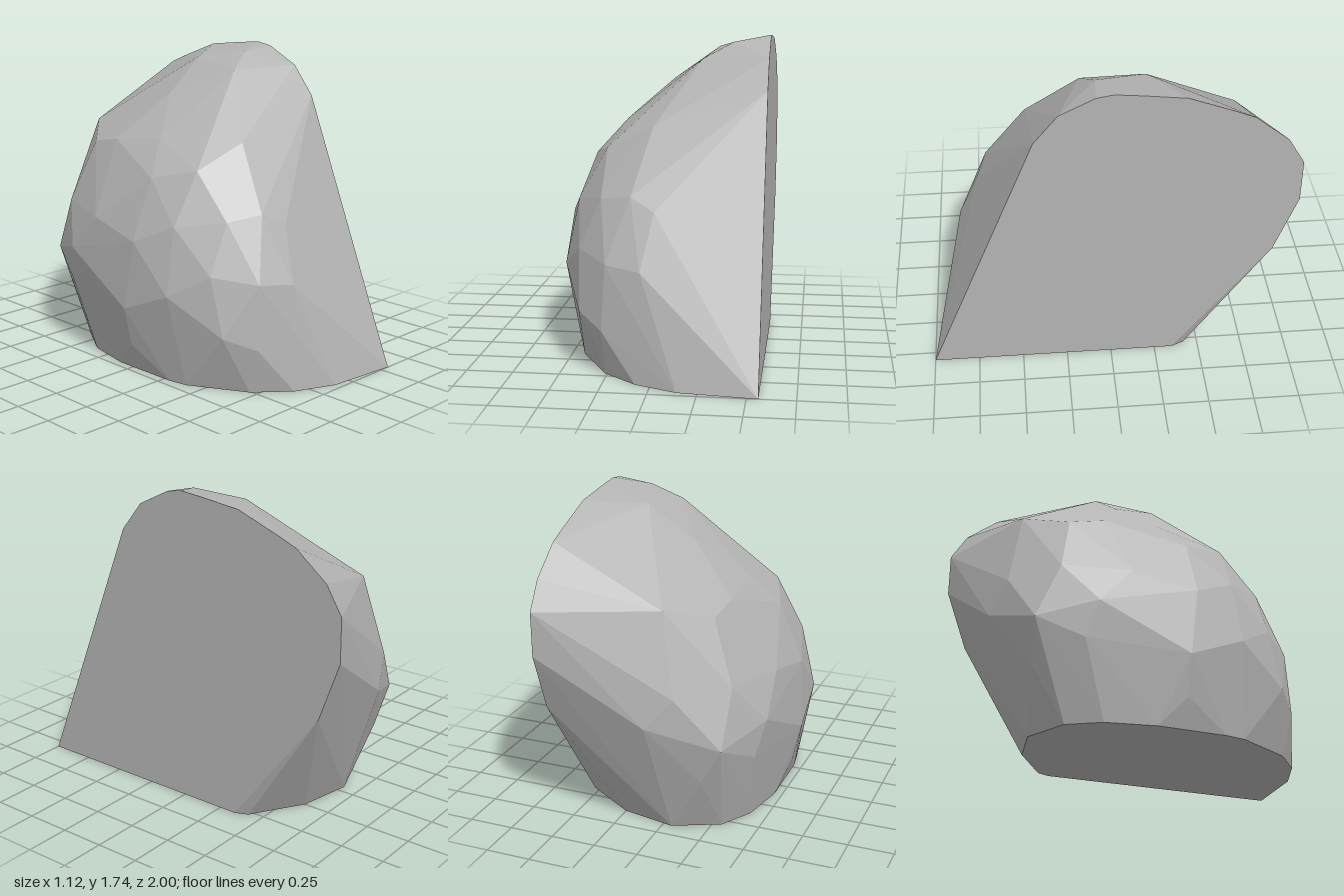
import * as THREE from 'three';
import { ConvexGeometry } from 'three/addons/geometries/ConvexGeometry.js';

const CUT_X = 0.56;

// Outline of the flat base, as x, z on y = 0
const base = [
  [0.53, -0.42], [0.25, -0.6], [-0.05, -0.66], [-0.3, -0.545], [-0.405, -0.37], [-0.457, -0.1],
  [-0.45, 0.29], [-0.43, 0.4], [-0.26, 0.71], [-0.08, 0.865], [0.145, 0.96],
];

// Outline of the flat split side, as z, y on x = CUT_X
const split = [
  [1, 0], [0.4, 1.47], [0.27, 1.63], [0.08, 1.725], [-0.01, 1.74], [-0.15, 1.727], [-0.38, 1.7],
  [-0.62, 1.61], [-0.73, 1.565], [-0.91, 1.42], [-1, 1.27], [-1, 1.03], [-0.88, 0.7], [-0.35, 0],
];

// Corners of the chipped rounded side, as x, y, z
const chipped = [
  // crown
  [0.26, 1.665, -0.2], [0, 1.48, -0.17], [0.36, 1.705, 0.07], [0.2, 1.62, 0.14],
  [-0.24, 1.27, 0], [-0.4, 1.09, 0.1], [-0.04, 1.28, 0.43], [-0.3, 1.15, 0.35],
  [-0.27, 1.23, -0.33], [-0.25, 1.19, -0.53], [-0.05, 1.27, -0.74],
  // front
  [-0.3, 0.91, 0.57], [-0.13, 0.94, 0.66], [0, 0.87, 0.71], [-0.25, 0.6, 0.76],
  [-0.06, 0.58, 0.825], [-0.27, 0.25, 0.775], [-0.41, 0.32, 0.65], [-0.42, 0.64, 0.57],
  // outer side
  [-0.46, 0.87, 0.34], [-0.535, 0.51, 0.36], [-0.535, 0.76, 0.1], [-0.56, 0.38, 0.05],
  [-0.51, 0.16, 0.05], [-0.5, 0.83, -0.25], [-0.515, 0.62, -0.44],
  // back
  [-0.38, 0.85, -0.61], [-0.37, 0.54, -0.74], [-0.14, 0.83, -0.83], [0, 0.67, -0.89],
  [-0.25, 0.33, -0.72], [-0.47, 0.42, -0.5],
];

export function createModel() {
  const group = new THREE.Group();
  group.name = 'splitRock';

  const stone = new THREE.MeshStandardMaterial({ color: 0xb4b4b4 });
  stone.name = 'grey stone';

  // The rock is the convex hull of its base, split side and chipped corners
  const points = [
    ...base.map(([x, z]) => new THREE.Vector3(x, 0, z)),
    ...split.map(([z, y]) => new THREE.Vector3(CUT_X, y, z)),
    ...chipped.map((p) => new THREE.Vector3(...p)),
  ];
  const rock = new THREE.Mesh(new ConvexGeometry(points), stone);
  rock.name = 'rock';
  group.add(rock);
  return group;
}
